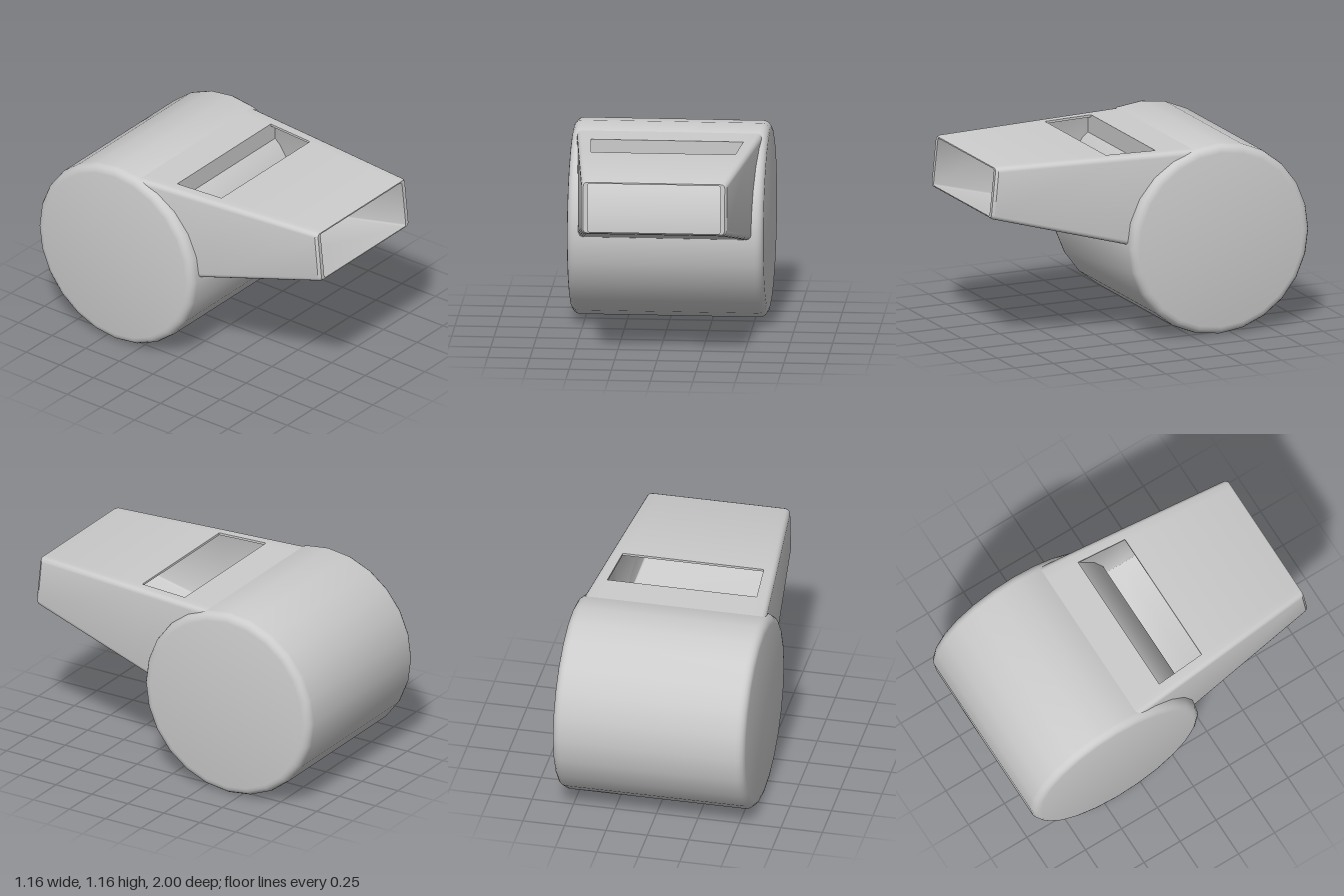
import * as THREE from 'three';
import { toCreasedNormals } from 'three/addons/utils/BufferGeometryUtils.js';

const grey = new THREE.MeshStandardMaterial({ color: 0xcccccc });
const greyDouble = new THREE.MeshStandardMaterial({ color: 0xcccccc, side: THREE.DoubleSide });

// Round drum lying on its side, 24 sides with rounded rims
function makeDrum() {
  const R = 0.58, half = 0.58, r = 0.05, steps = 4;
  const profile = [new THREE.Vector2(0, -half)];
  for (const side of [-1, 1]) {
    for (let i = 0; i <= steps; i++) {
      const a = (side < 0 ? i - steps : i) / steps * Math.PI / 2;
      profile.push(new THREE.Vector2(R - r + r * Math.cos(a), side * (half - r) + r * Math.sin(a)));
    }
  }
  profile.push(new THREE.Vector2(0, half));
  const geo = new THREE.LatheGeometry(profile, 24).rotateZ(Math.PI / 2);
  const drum = new THREE.Mesh(toCreasedNormals(geo, 0.6), grey);
  drum.name = 'drum';
  drum.position.set(0, 0.582, -0.42);
  return drum;
}

const ARC = 4;                       // steps per rounded corner
const SLOT = 2 * (ARC + 1);          // index of the slot's +x point in a loop

// Rounded cross-section of the mouthpiece at depth z, counter-clockwise from the front
function section(z, inset, r, lean = 0) {
  const w = 0.43 + (1 - z) * 0.095 - inset.side;
  const y0 = 0.827 - (1 - z) * 0.274 + inset.low;
  const y1 = 1.138 - inset.top;
  const slot = 0.45 - (z + 0.05) * 0.08;
  const pts = [];
  const add = (x, y) => pts.push(new THREE.Vector3(x, y, z - lean * (y - y0) / (y1 - y0)));
  const corner = (sx, sy, start) => {
    for (let i = 0; i <= ARC; i++) {
      const a = start + i / ARC * Math.PI / 2;
      add(sx * (w - r) + r * Math.cos(a), (sy < 0 ? y0 + r : y1 - r) + r * Math.sin(a));
    }
  };
  corner(1, -1, -Math.PI / 2);
  corner(1, 1, 0);
  const s = Math.min(slot, w - r - 0.002);
  add(s, y1);
  add(-s, y1);
  corner(-1, 1, Math.PI / 2);
  corner(-1, -1, Math.PI);
  return pts;
}

// Hollow tapered mouthpiece with an air slot in its top
function makeMouthpiece() {
  const inner = { side: 0.038, low: 0.012, top: 0.014 };
  const lip = { side: 0.012, low: 0.006, top: 0.006 };
  const outer = { side: 0, low: 0, top: 0 };
  const zSlotBack = -0.05, zSlotFront = 0.26;
  const loops = [
    section(zSlotBack, inner, 0.012),
    section(zSlotFront, inner, 0.012),
    section(1, inner, 0.012, 0.03),
    section(1, lip, 0.022, 0.03),
    section(0.985, outer, 0.03, 0.03),
    section(zSlotFront, outer, 0.03),
    section(zSlotBack, outer, 0.03),
    section(-0.27, outer, 0.03),
  ];
  const pos = [];
  const tri = (...v) => v.forEach(p => pos.push(p.x, p.y, p.z));
  const quad = (a, b, c, d) => { tri(a, b, c); tri(a, c, d); };

  // Skin from the inside, round the lip and along the outside
  for (let l = 0; l < loops.length - 1; l++) {
    const A = loops[l], B = loops[l + 1], n = A.length;
    for (let i = 0; i < n; i++) {
      const j = (i + 1) % n;
      if (i === SLOT && (l === 0 || l === 5)) continue;
      quad(A[i], B[i], B[j], A[j]);
    }
  }
  // Back wall of the air channel
  const back = loops[0];
  for (let i = 1; i < back.length - 1; i++) tri(back[0], back[i], back[i + 1]);

  // Thin walls round the slot
  const rim = (l, m) => [loops[l][SLOT], loops[l][SLOT + 1], loops[m][SLOT + 1], loops[m][SLOT]];
  const low = rim(0, 1), high = rim(6, 5);
  for (let i = 0; i < 4; i++) {
    const j = (i + 1) % 4;
    quad(low[i], low[j], high[j], high[i]);
  }

  const geo = new THREE.BufferGeometry();
  geo.setAttribute('position', new THREE.Float32BufferAttribute(pos, 3));
  const mouthpiece = new THREE.Mesh(toCreasedNormals(geo, 0.6), greyDouble);
  mouthpiece.name = 'mouthpiece';
  return mouthpiece;
}

export function createModel() {
  const group = new THREE.Group();
  group.name = 'whistle';
  group.add(makeDrum(), makeMouthpiece());
  return group;
}
